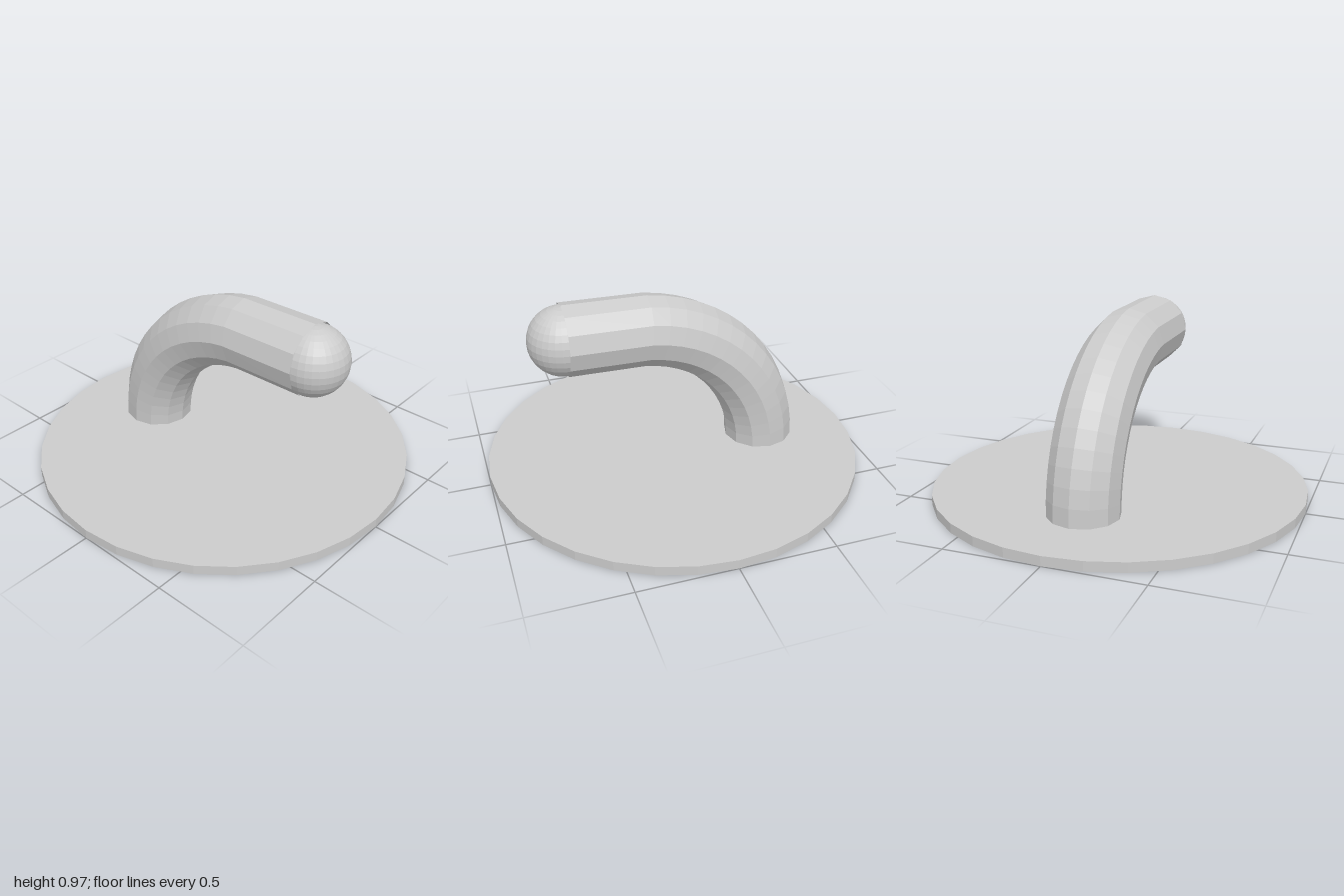
import * as THREE from 'three';

export function createModel() {
  const model = new THREE.Group();
  const material = new THREE.MeshStandardMaterial({
    color: 0xcccccc, flatShading: true, side: THREE.DoubleSide,
  });
  const add = (name, geometry, x, y, z) => {
    const mesh = new THREE.Mesh(geometry, material);
    mesh.name = name;
    mesh.position.set(x, y, z);
    model.add(mesh);
  };

  // Round wall plate
  add('basePlate', new THREE.CylinderGeometry(1, 1, 0.05, 32), 0, 0.025, 0);

  // Bent arm: a straight tube swept along an arc, then one straight run to the tip
  const arcSteps = 14, rings = arcSteps + 1;
  const bendX = 0.23, bendY = 0.05, bendRadius = 0.735;
  const arm = new THREE.CylinderGeometry(0.187, 0.187, 1, 12, rings, true);
  const pos = arm.attributes.position;
  for (let i = 0; i < pos.count; i++) {
    const ring = Math.round((pos.getY(i) + 0.5) * rings);
    const offset = pos.getX(i);
    const isTip = ring > arcSteps;
    const angle = isTip ? Math.PI / 2 : THREE.MathUtils.degToRad(ring * 6);
    const cx = isTip ? 0.57 : bendX - bendRadius * Math.cos(angle);
    const cy = bendY + bendRadius * Math.sin(angle) + (isTip ? 0.002 : 0);
    pos.setX(i, cx + offset * Math.cos(angle));
    pos.setY(i, cy - offset * Math.sin(angle));
  }
  arm.computeVertexNormals();
  add('bentArm', arm, 0, 0, 0);

  // Rounded tip
  add('ballTip', new THREE.SphereGeometry(0.18, 32, 16), 0.57, 0.785, 0);

  return model;
}
